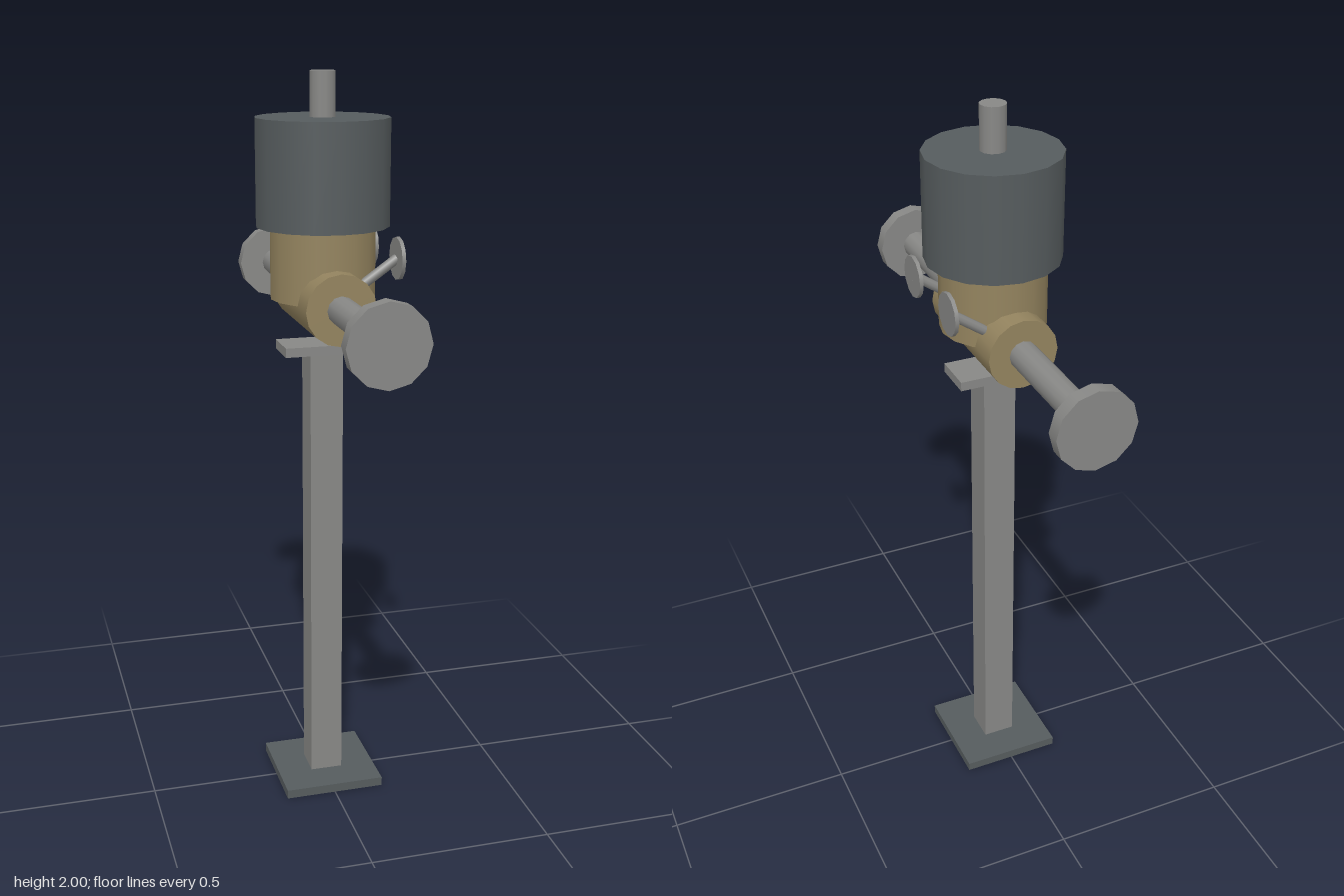
import * as THREE from 'three';

export function createModel() {
  const model = new THREE.Group();
  model.name = 'valveOnPost';
  const material = (name, color) => {
    const m = new THREE.MeshStandardMaterial({ color });
    m.name = name;
    return m;
  };
  const steel = material('steelGrey', 0x888886);
  const dark = material('darkSlate', 0x565c5e);
  const bronze = material('bronze', 0x94845f);

  const add = (name, geometry, mat, x, y, z) => {
    const mesh = new THREE.Mesh(geometry, mat);
    mesh.name = name;
    mesh.position.set(x, y, z);
    model.add(mesh);
    return mesh;
  };
  // Cylinder running between two points
  const up = new THREE.Vector3(0, 1, 0);
  const rod = (name, r, a, b, mat, sides) => {
    const from = new THREE.Vector3(...a), to = new THREE.Vector3(...b);
    const dir = to.clone().sub(from);
    const mid = from.clone().add(to).multiplyScalar(0.5);
    const mesh = add(name, new THREE.CylinderGeometry(r, r, dir.length(), sides), mat, mid.x, mid.y, mid.z);
    mesh.quaternion.setFromUnitVectors(up, dir.normalize());
    return mesh;
  };

  // Support stand
  add('basePlate', new THREE.BoxGeometry(0.28, 0.025, 0.28), dark, 0, 0.0125, 0);
  add('post', new THREE.BoxGeometry(0.09, 1.25, 0.09), steel, 0, 0.65, 0);
  add('topPlate', new THREE.BoxGeometry(0.23, 0.025, 0.115), steel, 0, 1.283, 0);

  // Valve body, bonnet, actuator and stem
  const pipeY = 1.417;
  rod('valveBody', 0.094, [0, pipeY, -0.188], [0, pipeY, 0.188], bronze, 16);
  rod('bonnet', 0.14, [0, 1.417, 0], [0, 1.607, 0], bronze, 16);
  rod('actuator', 0.177, [0, 1.607, 0], [0, 1.885, 0], dark, 16);
  rod('stem', 0.034, [0, 1.885, 0], [0, 2, 0], steel, 12);

  // Mirrored pipes with flanges, and slanted side ports with discs
  for (const s of [1, -1]) {
    rod('pipe', 0.038, [0, pipeY, s * 0.18], [0, pipeY, s * 0.56], steel, 12);
    rod('flange', 0.105, [0, pipeY, s * 0.548], [0, pipeY, s * 0.587], steel, 12);
    const z = s * 0.117;
    rod('portTube', 0.013, [0.05, 1.45, z], [0.168, 1.532, z], steel, 10);
    rod('portDisc', 0.056, [0.165, 1.532, z], [0.175, 1.532, z], steel, 12);
  }
  return model;
}
